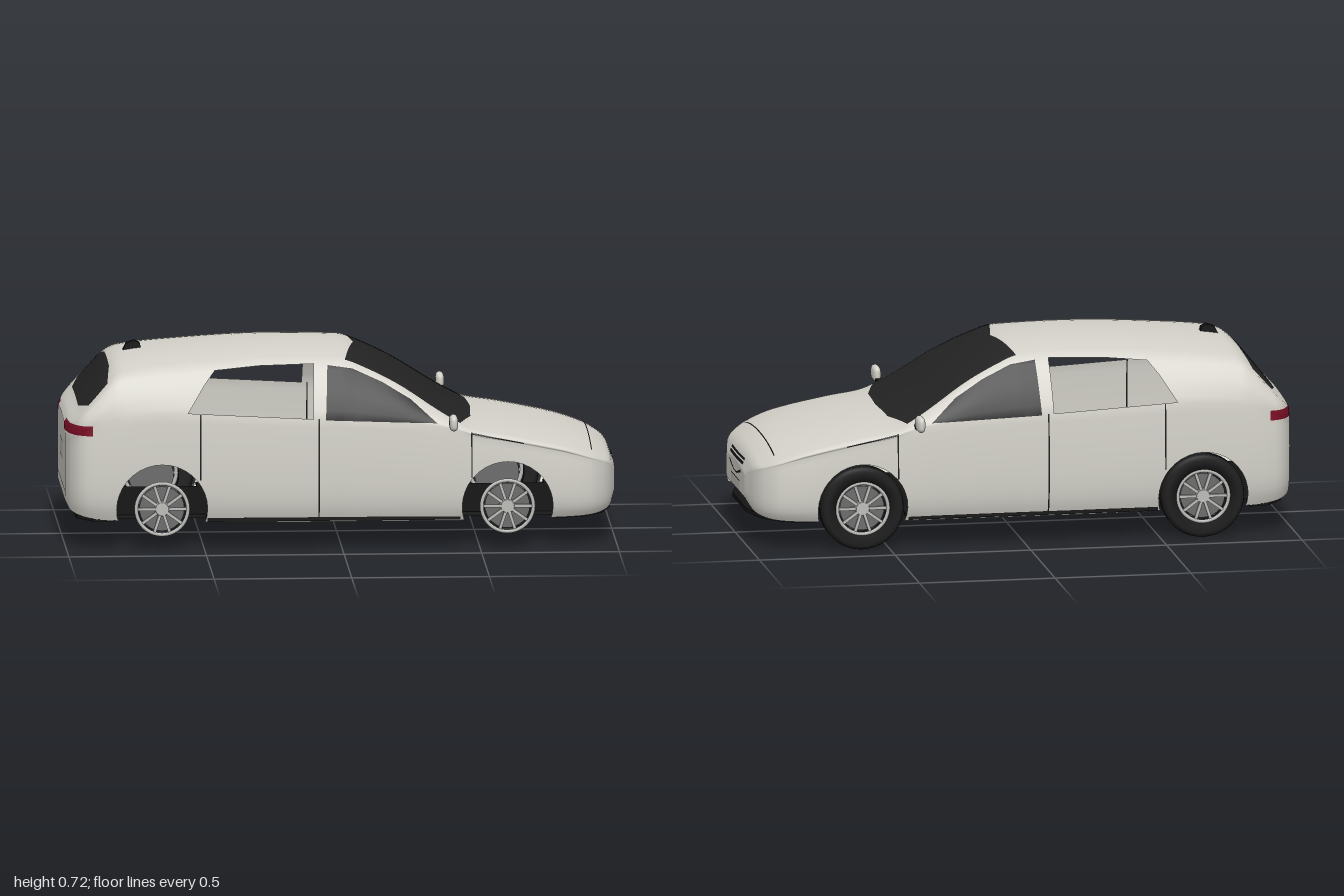
import * as THREE from 'three';

const mat = (name, color, side = THREE.DoubleSide) => {
  const m = new THREE.MeshStandardMaterial({ color, side });
  m.name = name;
  return m;
};

// Body stations: x, top height, crown drop, rail half width, belt height, half width, bottom height
const STATIONS = [
  [-1.0, .45, .012, .22, .37, .26, .165], [-.985, .475, .018, .29, .39, .325, .14],
  [-.95, .51, .02, .345, .42, .377, .125], [-.9, .572, .03, .35, .45, .397, .115],
  [-.83, .652, .035, .335, .48, .405, .11], [-.78, .675, .035, .325, .49, .407, .108],
  [-.6, .695, .035, .315, .5, .41, .105], [-.3, .714, .035, .3, .49, .41, .1],
  [0, .711, .035, .29, .48, .41, .1], [.05, .7, .035, .292, .477, .41, .1],
  [.2, .625, .03, .32, .467, .41, .1], [.35, .53, .03, .345, .45, .41, .1],
  [.43, .483, .03, .365, .43, .41, .1], [.48, .457, .025, .375, .41, .41, .102],
  [.6, .437, .025, .38, .39, .41, .104], [.8, .4, .03, .38, .35, .407, .108],
  [.9, .372, .035, .35, .32, .385, .112], [.95, .345, .03, .305, .3, .345, .12],
  [.98, .318, .02, .25, .28, .29, .135], [1.0, .275, .012, .15, .25, .2, .17],
];

// Smooth (Hermite) blend between two stations
function station(i, t) {
  const S = STATIONS, n = S.length - 1;
  const slope = (k, c) => {
    const a = S[Math.max(k - 1, 0)], b = S[Math.min(k + 1, n)];
    return (b[c] - a[c]) / (b[0] - a[0]);
  };
  const h = S[i + 1][0] - S[i][0], t2 = t * t, t3 = t2 * t;
  return S[i].map((v, c) => c === 0 ? v + h * t :
    (2 * t3 - 3 * t2 + 1) * v + (t3 - 2 * t2 + t) * h * slope(i, c) +
    (3 * t2 - 2 * t3) * S[i + 1][c] + (t3 - t2) * h * slope(i + 1, c));
}

// Half section from the top centre to the bottom lip as [z, y]
function halfSection([, top, drop, rail, belt, w, low]) {
  const p = [], wb = w - .015, yE = top - drop;
  for (let k = 0; k <= 8; k++) p.push([rail * k / 8, top - drop * (k / 8) ** 2.3]);
  for (let k = 1; k <= 7; k++) {
    const s = k / 7;
    p.push([rail + (wb - rail) * s + .01 * Math.sin(Math.PI * s), yE + (belt - yE) * s]);
  }
  for (let k = 1; k <= 12; k++) {
    const t = k / 12;
    p.push([w - .015 * (1 - t) ** 2 - .01 * t * t - .022 * t ** 8, belt + (low - belt) * t]);
  }
  return p;
}

// Lofted skin returned as polygons of vertices [x, y, z, nx, ny, nz]
function buildSkin() {
  const rings = [];
  const ring = (s, k = 1) => {
    const half = halfSection(s).map(([z, y]) => [z * k, s[6] + (y - s[6]) * k]);
    const left = half.slice(1).reverse().map(([z, y]) => [s[0], y, -z]);
    rings.push([...left, ...half.map(([z, y]) => [s[0], y, z])]);
  };
  const first = STATIONS[0], last = STATIONS[STATIONS.length - 1];
  [.001, .5, .95].forEach(k => ring(first, k));
  for (let i = 0; i < STATIONS.length - 1; i++)
    for (let k = 0; k < 5; k++) ring(station(i, k / 5));
  [1, .95, .5, .001].forEach(k => ring(last, k));
  const n = rings[0].length, index = [];
  for (let i = 0; i < rings.length - 1; i++)
    for (let j = 0; j < n - 1; j++) {
      const a = i * n + j, b = a + n;
      index.push(a, a + 1, b, a + 1, b + 1, b);
    }
  const g = new THREE.BufferGeometry();
  g.setAttribute('position', new THREE.Float32BufferAttribute(rings.flat(2), 3));
  g.setIndex(index);
  g.computeVertexNormals();
  const P = g.attributes.position, N = g.attributes.normal, polys = [];
  const vert = i => [P.getX(i), P.getY(i), P.getZ(i), N.getX(i), N.getY(i), N.getZ(i)];
  for (let i = 0; i < index.length; i += 3) polys.push(index.slice(i, i + 3).map(vert));
  return polys;
}

// Convex prism over two axes (0 x, 1 y, 2 z), plus limits [axis, sign, value], as half spaces
function prism(a, b, pts, ...limits) {
  let area = 0;
  pts.forEach((p, i) => { const q = pts[(i + 1) % pts.length]; area += p[0] * q[1] - q[0] * p[1]; });
  const s = Math.sign(area);
  const planes = pts.map((p, i) => {
    const q = pts[(i + 1) % pts.length], na = -s * (q[1] - p[1]), nb = s * (q[0] - p[0]);
    return v => na * (v[a] - p[0]) + nb * (v[b] - p[1]);
  });
  return [...planes, ...limits.map(([axis, sign, val]) => v => sign * (v[axis] - val))];
}
const rect = (a0, a1, b0, b1) => [[a0, b0], [a1, b0], [a1, b1], [a0, b1]];

function clip(poly, f, sign) {
  const out = [];
  poly.forEach((p, i) => {
    const q = poly[(i + 1) % poly.length], fp = sign * f(p), fq = sign * f(q);
    if (fp >= 0) out.push(p);
    if ((fp > 0 && fq < 0) || (fp < 0 && fq > 0)) out.push(p.map((c, k) => c + (q[k] - c) * fp / (fp - fq)));
  });
  return out;
}

// Cuts a convex region out of the skin and returns [inside, rest]
function carve(polys, planes) {
  const inside = [], rest = [];
  for (const poly of polys) {
    if (planes.some(f => poly.every(v => f(v) <= 0))) { rest.push(poly); continue; }
    let cur = poly;
    for (const f of planes) {
      const out = clip(cur, f, -1);
      if (out.length > 2) rest.push(out);
      cur = clip(cur, f, 1);
      if (cur.length < 3) break;
    }
    if (cur.length > 2) inside.push(cur);
  }
  return [inside, rest];
}

function polyGeometry(polys) {
  const pos = [], nor = [];
  for (const p of polys)
    for (let i = 1; i < p.length - 1; i++)
      for (const v of [p[0], p[i], p[i + 1]]) { pos.push(v[0], v[1], v[2]); nor.push(v[3], v[4], v[5]); }
  const g = new THREE.BufferGeometry();
  g.setAttribute('position', new THREE.Float32BufferAttribute(pos, 3));
  g.setAttribute('normal', new THREE.Float32BufferAttribute(nor, 3));
  return g;
}

export function createModel() {
  const car = new THREE.Group();
  car.name = 'car';
  const paint = mat('paint', 0xd3d1c9), glass = mat('darkGlass', 0x232323), black = mat('blackTrim', 0x141414),
    red = mat('tailRed', 0x7d0f26), rubber = mat('rubber', 0x1c1c1c), alloy = mat('alloy', 0xbdbdb9),
    steel = mat('brakeSteel', 0x6c6c6c);
  const add = (name, geo, m, x = 0, y = 0, z = 0, parent = car) => {
    const o = new THREE.Mesh(geo, m);
    o.name = name;
    o.position.set(x, y, z);
    parent.add(o);
    return o;
  };
  const axles = [-.655, .6], hubY = .153;

  // Body skin with its openings, glass, lamps and panel gaps
  let skin = buildSkin();
  const cut = (name, m, ...regions) => {
    const got = [];
    for (const r of regions) {
      const [inside, rest] = carve(skin, r);
      got.push(...inside);
      skin = rest;
    }
    if (m) add(name, polyGeometry(got), m);
  };
  const circle = (cx, r) => Array.from({ length: 36 }, (_, k) =>
    [cx + r * Math.cos(k * Math.PI / 18), hubY + r * Math.sin(k * Math.PI / 18)]);
  cut('wheelArches', null, ...axles.map(x => prism(0, 1, circle(x, .165))));
  cut('rearDoorOpenings', null, prism(0, 1, [[-.56, .505], [-.5, .6], [-.46, .65], [-.3, .664], [-.1, .668], [-.105, .48]]));
  cut('frontDoorGlass', glass, prism(0, 1,
    [[-.06, .475], [-.05, .663], [.04, .65], [.15, .602], [.25, .543], [.345, .46]]));
  cut('windscreen', glass, ...[1, -1].map(s => prism(0, 2,
    [[.06, 0], [.485, 0], [.475, .2 * s], [.43, .357 * s], [.015, .278 * s]], [1, 1, .3])));
  cut('hatchGlass', glass, prism(0, 2, [[-.95, -.2], [-.92, -.325], [-.85, -.315], [-.835, -.15],
    [-.835, .15], [-.85, .315], [-.92, .325], [-.95, .2]], [1, 1, .42]));
  cut('tailLamps', red, ...[1, -1].map(s => prism(0, 1, rect(-1.1, -.905, .422, .458), [2, s, .18 * s])));
  cut('numberPlates', alloy, prism(2, 1, rect(-.087, .087, .148, .207), [0, 1, .9]),
    prism(2, 1, rect(-.087, .087, .29, .35), [0, -1, -.9]));
  const front = [0, 1, .85];
  cut('frontTrim', black,
    prism(2, 1, rect(-.091, .091, .144, .211), front),
    prism(2, 1, rect(-.13, .13, .292, .3), front),
    prism(2, 1, rect(-.13, .13, .277, .287), front),
    prism(2, 1, [[-.2, .143], [.2, .143], [.19, .167], [-.19, .167]], front),
    ...[1, -1].map(s => prism(2, 1, [[.115 * s, .257], [.11 * s, .244], [.03 * s, .226], [.03 * s, .232]], front)),
    prism(2, 1, rect(-.03, .03, .226, .231), front));
  const gap = .0025;
  cut('panelGaps', black,
    prism(2, 1, rect(-.09, .09, .287, .353), [0, -1, -.9]),
    prism(2, 1, rect(-.25, .25, .198, .202), [0, -1, -.9]),
    ...[[-.515, .26, .5], [-.085, .11, .48], [.47, .26, .425]].map(([x, y0, y1]) =>
      prism(0, 1, rect(x - gap, x + gap, y0, y1))),
    ...[1, -1].map(s => prism(0, 1, [[.47, .424], [.47, .418], [.66, .382], [.66, .386]], [2, s, .3 * s])),
    prism(0, 2, rect(.908, .912, -.3, .3), [1, 1, .3]));
  add('bodyShell', polyGeometry(skin), paint);

  // Floor pan, notched around the wheels
  const floor = new THREE.Shape();
  const edge = [[-.97, 0], [-.96, .28], [-.9, .36], [-.83, .37], [-.83, .3], [-.49, .3], [-.49, .385],
    [.43, .385], [.43, .3], [.77, .3], [.77, .37], [.88, .345], [.95, .27], [.985, .14], [.985, 0]];
  floor.setFromPoints([...edge, ...edge.slice(1, -1).reverse().map(([x, z]) => [x, -z])]
    .map(([x, z]) => new THREE.Vector2(x, z)));
  add('floorPan', new THREE.ExtrudeGeometry(floor, { depth: .014, bevelEnabled: false }).rotateX(Math.PI / 2),
    black, 0, .118, 0);
  add('underTray', new THREE.BoxGeometry(1.3, .012, .44), black, .05, .101, 0);

  // Wheels: alloy rims on both sides, tyres on the right-hand pair
  const tyreProfile = [[.1, -.036], [.135, -.04], [.149, -.034], [.153, -.02], [.153, -.004], [.149, 0],
    [.153, .004], [.153, .02], [.149, .034], [.135, .04], [.1, .036], [.1, -.036]]
    .map(([r, h]) => new THREE.Vector2(r, h));
  for (const x of axles) for (const s of [1, -1]) {
    const wheel = new THREE.Group();
    wheel.name = 'wheel';
    wheel.position.set(x, hubY, .36 * s);
    if (s < 0) {
      wheel.rotation.y = Math.PI;
      add('tyre', new THREE.LatheGeometry(tyreProfile, 40).rotateX(Math.PI / 2), rubber, 0, 0, 0, wheel);
    }
    add('brakeDrum', new THREE.CylinderGeometry(.082, .082, .045, 32).rotateX(Math.PI / 2), steel, 0, 0, -.005, wheel);
    add('rimRing', new THREE.TorusGeometry(.094, .007, 8, 40), alloy, 0, 0, .028, wheel);
    add('hub', new THREE.CylinderGeometry(.024, .028, .014, 20).rotateX(Math.PI / 2), alloy, 0, 0, .026, wheel);
    for (let k = 0; k < 10; k++) {
      const spoke = new THREE.BoxGeometry(.068, .011, .008).translate(.056, 0, 0).rotateZ(k * Math.PI / 5);
      add('spoke', spoke, alloy, 0, 0, .027, wheel);
    }
    car.add(wheel);
  }

  // Door mirrors
  for (const s of [1, -1]) {
    const pod = new THREE.SphereGeometry(1, 24, 16), p = pod.attributes.position;
    for (let i = 0; i < p.count; i++) {
      const round = v => Math.sign(v) * Math.abs(v) ** .6;
      p.setXYZ(i, p.getX(i) * .016, round(p.getY(i)) * .029, round(p.getZ(i)) * .042);
    }
    pod.computeVertexNormals();
    add('mirrorPod', pod, paint, .4, .473, .458 * s);
    add('mirrorArm', new THREE.BoxGeometry(.016, .016, .05), black, .4, .452, .405 * s);
  }

  // Roof aerial fin
  const fin = new THREE.Shape([[-.78, .668], [-.71, .675], [-.715, .7], [-.735, .71], [-.765, .7]]
    .map(([x, y]) => new THREE.Vector2(x, y)));
  add('aerialFin', new THREE.ExtrudeGeometry(fin, { depth: .028, bevelEnabled: false }), black, 0, 0, -.014);
  return car;
}
